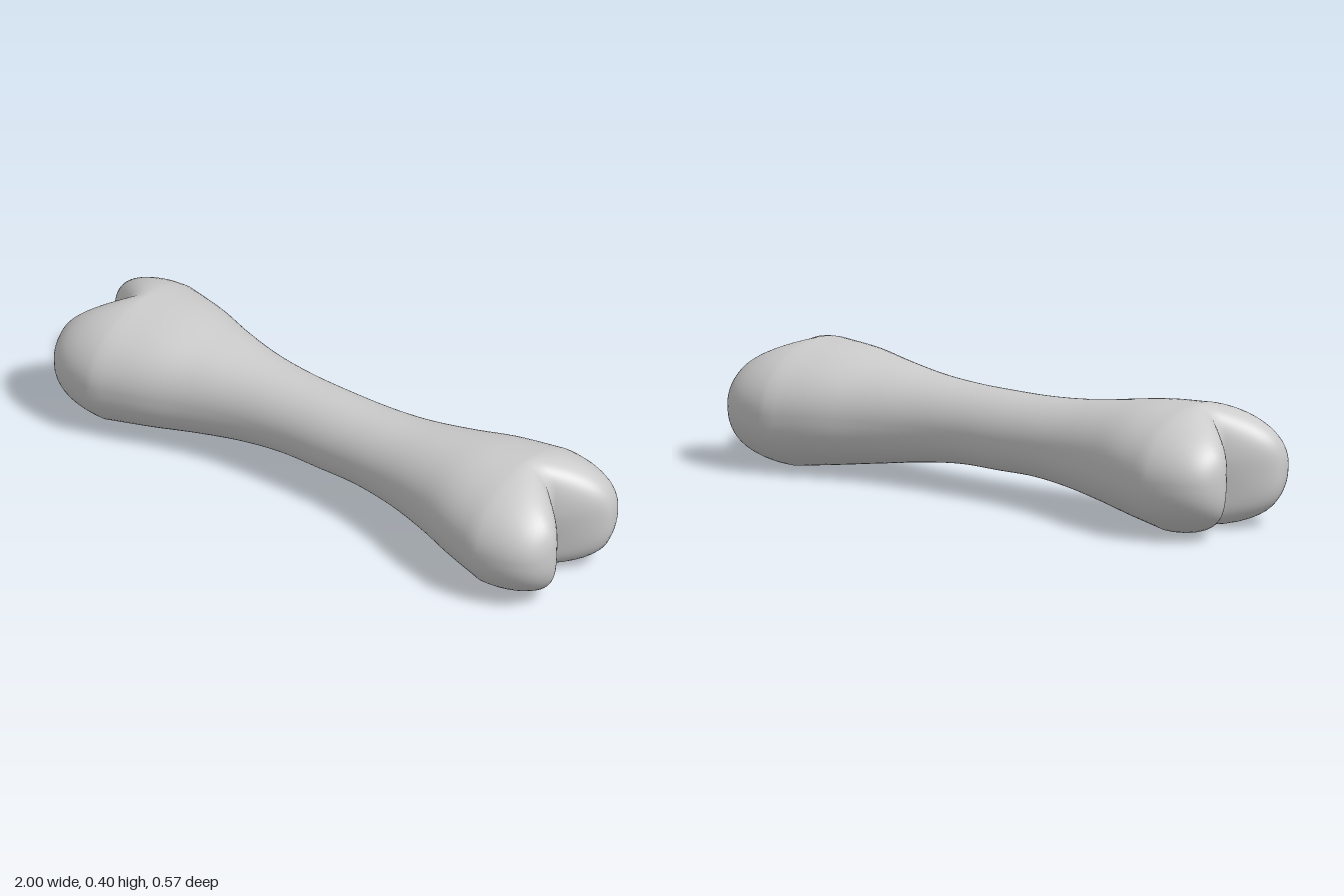
import * as THREE from 'three';
import { mergeVertices } from 'three/addons/utils/BufferGeometryUtils.js';

const SEGMENTS = 64, BODY_RINGS = 48, CAP_RINGS = 24;
const RIM = 0.77, CAP = 0.233; // where the rounded ends start, and how far they reach

// Half width, top and bottom height at even steps from the middle to the rim
const half = [
  [0.13, 0.348, 0.09], [0.133, 0.35, 0.09], [0.15, 0.361, 0.074],
  [0.188, 0.382, 0.05], [0.243, 0.404, 0.026], [0.286, 0.413, 0.003],
].map(p => new THREE.Vector3(...p));
const profile = new THREE.CatmullRomCurve3(
  [...half.slice(1).reverse(), ...half], false, 'catmullrom', 0.5);

// Point on a cross-section scaled by r; the underside is a little squarer and grooved
function section(t, angle, r) {
  const p = profile.getPoint(t);
  const c = Math.cos(angle), s = Math.sin(angle);
  const e = s < 0 ? 2 / 2.35 : 1;
  const z = p.x * r * Math.sign(c) * Math.abs(c) ** e;
  let y = (p.y + p.z) / 2 + (p.y - p.z) / 2 * r * Math.sign(s) * Math.abs(s) ** e;
  if (s < 0) y += 0.012 * Math.exp(-((z / 0.07) ** 2)) * Math.abs(2 * t - 1) ** 4 * r * s * s;
  return { y, z };
}

// Point on an end: a domed cap split into two knuckles by a vertical cleft
function capPoint(side, angle, r) {
  const { y, z } = section(side > 0 ? 1 : 0, angle, r);
  const c = Math.cos(angle), s = Math.sin(angle);
  const power = 5.3 * c * c + (s > 0 ? 2.6 : 4) * s * s;
  const dome = Math.sqrt(Math.max(0, 1 - r ** power));
  const cleft = Math.max(0, 1 - Math.abs(z) / 0.15) ** 1.5;
  const depth = 0.55 + 0.1 * THREE.MathUtils.smoothstep(0.25 - y, 0, 0.15);
  return [side * (RIM + CAP * dome * (1 - depth * cleft)), y, z];
}

function boneGeometry() {
  // Rings from the left-hand pole, along the shaft, to the right-hand pole
  const rings = [];
  const capRadius = i => i === CAP_RINGS ? 0 : Math.cos(i / CAP_RINGS * Math.PI / 2);
  for (let i = CAP_RINGS; i > 0; i--) rings.push(a => capPoint(-1, a, capRadius(i)));
  for (let i = 0; i <= BODY_RINGS; i++) {
    const t = i / BODY_RINGS;
    rings.push(a => {
      const { y, z } = section(t, a, 1);
      return [RIM * (2 * t - 1), y, z];
    });
  }
  for (let i = 1; i <= CAP_RINGS; i++) rings.push(a => capPoint(1, a, capRadius(i)));

  const positions = [], index = [];
  rings.forEach((ring, i) => {
    for (let j = 0; j < SEGMENTS; j++) {
      positions.push(...ring(j / SEGMENTS * Math.PI * 2));
      if (i === rings.length - 1) continue;
      const k = (j + 1) % SEGMENTS, a = i * SEGMENTS, b = a + SEGMENTS;
      if (i < rings.length - 2) index.push(a + j, b + j, b + k);
      else index.push(a + j, b, a + k);
      if (i > 0 && i < rings.length - 2) index.push(a + j, b + k, a + k);
    }
  });
  const geometry = new THREE.BufferGeometry();
  geometry.setAttribute('position', new THREE.Float32BufferAttribute(positions, 3));
  geometry.setIndex(index);
  const merged = mergeVertices(geometry, 1e-5);
  merged.computeVertexNormals();
  return merged;
}

export function createModel() {
  const group = new THREE.Group();
  group.name = 'bone';
  const bone = new THREE.Mesh(boneGeometry(), new THREE.MeshStandardMaterial({ color: 0xcccccc }));
  bone.name = 'boneShaftAndKnuckles';
  group.add(bone);
  return group;
}
